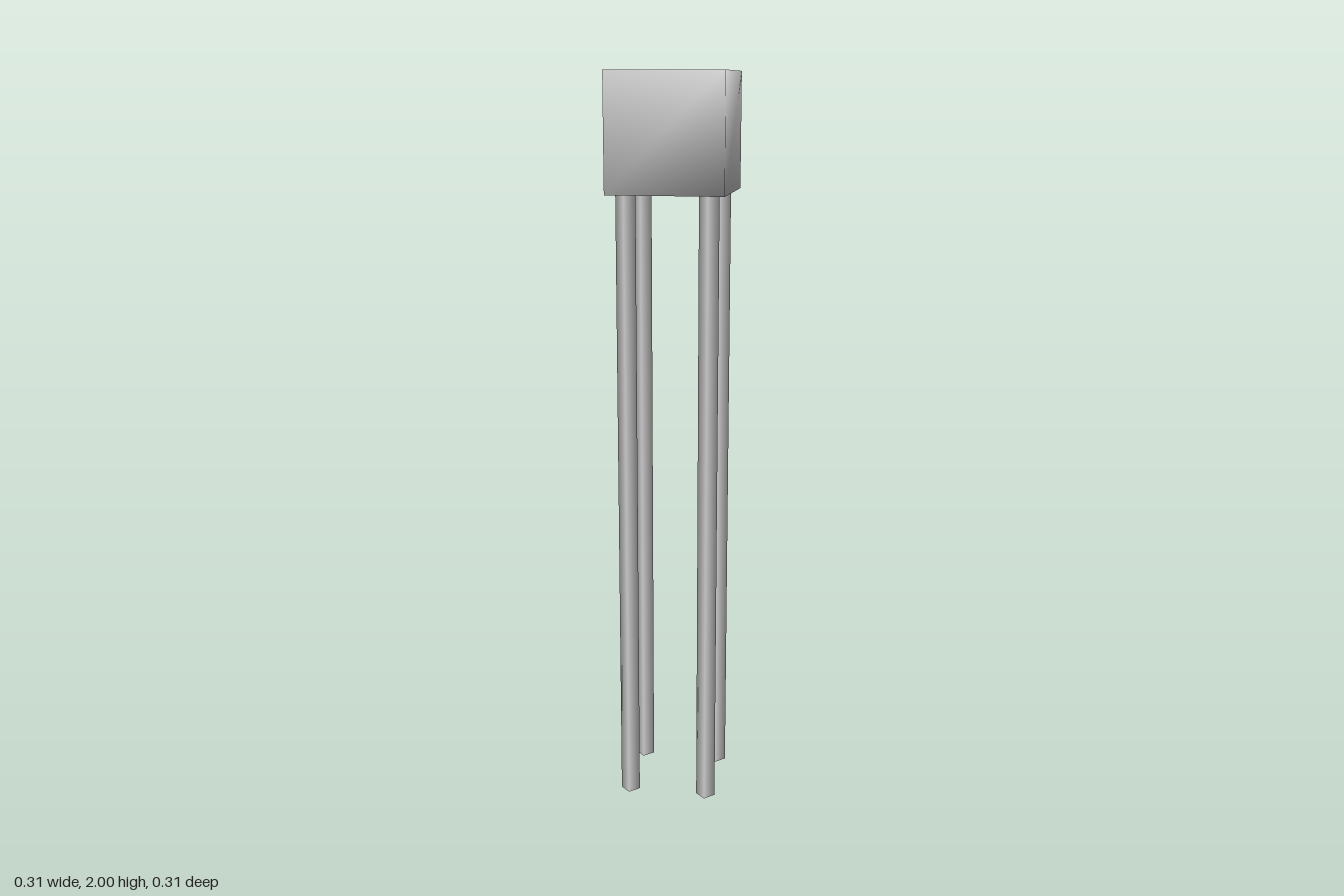
import * as THREE from 'three';
import { mergeVertices } from 'three/addons/utils/BufferGeometryUtils.js';

export function createModel() {
  const model = new THREE.Group();
  model.name = 'postWithLegs';
  const grey = new THREE.MeshStandardMaterial({ color: 0xcccccc });

  const height = 2, bodyWidth = 0.31, bodyHeight = 0.307;
  const legHeight = height - bodyHeight, legRadius = 0.0265, legOffset = 0.109;

  // Cube body with shared corners, so its shading is rounded
  let bodyGeometry = new THREE.BoxGeometry(bodyWidth, bodyHeight, bodyWidth);
  bodyGeometry.deleteAttribute('normal');
  bodyGeometry.deleteAttribute('uv');
  bodyGeometry = mergeVertices(bodyGeometry);
  bodyGeometry.computeVertexNormals();
  const body = new THREE.Mesh(bodyGeometry, grey);
  body.name = 'body';
  body.position.y = legHeight + bodyHeight / 2;
  model.add(body);

  // Four slim, four-sided legs with their edges facing the axes
  const legGeometry = new THREE.CylinderGeometry(legRadius, legRadius, legHeight, 4);
  for (const [zName, z] of [['front', 1], ['back', -1]]) {
    for (const [xName, x] of [['Left', 1], ['Right', -1]]) {
      const leg = new THREE.Mesh(legGeometry, grey);
      leg.name = zName + xName + 'Leg';
      leg.position.set(x * legOffset, legHeight / 2, z * legOffset);
      model.add(leg);
    }
  }
  return model;
}
